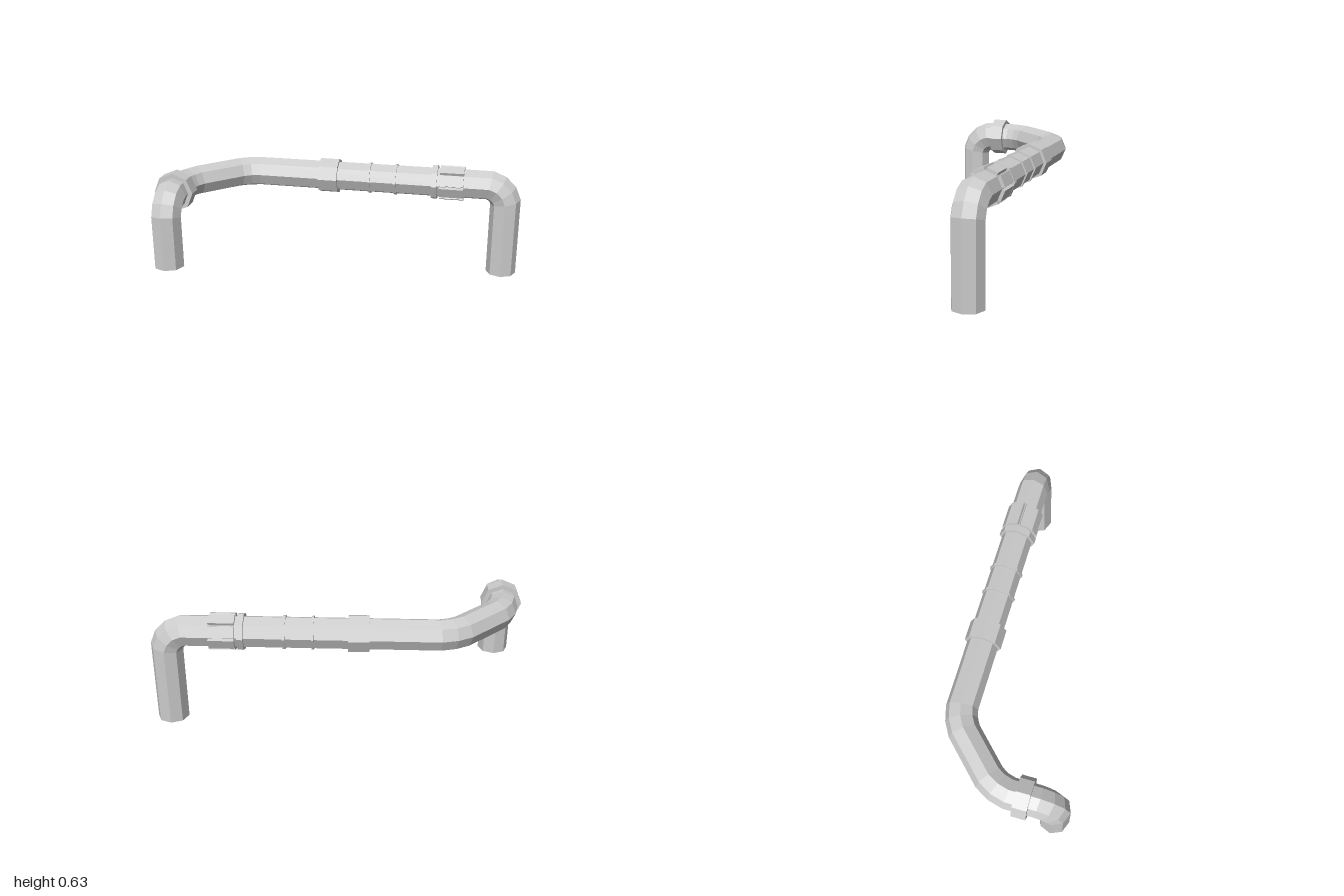
import * as THREE from 'three';

const V = (x, y, z) => new THREE.Vector3(x, y, z);
const SIDES = 8, RADIUS = 0.085, AXIS_Y = 0.525, AXIS_Z = -0.295;

// Replace each inner corner of a path by a faceted bend { radius, steps }
function roundPath(corners, bends) {
  const path = [corners[0]];
  bends.forEach(({ radius, steps }, i) => {
    const corner = corners[i + 1];
    const dir = corner.clone().sub(corners[i]).normalize();
    const out = corners[i + 2].clone().sub(corner).normalize();
    const turn = dir.angleTo(out), axis = dir.clone().cross(out).normalize();
    const half = radius * Math.tan(turn / steps / 2);
    const p = corner.clone().addScaledVector(dir, -radius * Math.tan(turn / 2));
    for (let k = 0; k < steps; k++) {
      p.addScaledVector(dir, half);
      path.push(p.clone());
      dir.applyAxisAngle(axis, turn / steps);
      p.addScaledVector(dir, half);
    }
  });
  path.push(corners[corners.length - 1]);
  return path;
}

// Octagonal pipe swept along the path with mitred joints
function sweepPipe(path, side) {
  const positions = [], index = [], u = side.clone();
  path.forEach((p, i) => {
    const next = path[Math.min(i + 1, path.length - 1)], prev = path[Math.max(i - 1, 0)];
    const dOut = (i < path.length - 1 ? next.clone().sub(p) : p.clone().sub(prev)).normalize();
    const dIn = (i > 0 ? p.clone().sub(prev) : dOut.clone()).normalize();
    const mitre = dIn.clone().add(dOut).normalize();
    const v = dIn.clone().cross(u);
    for (let k = 0; k < SIDES; k++) {
      const a = (k / SIDES) * Math.PI * 2;
      const o = u.clone().multiplyScalar(RADIUS * Math.cos(a)).addScaledVector(v, RADIUS * Math.sin(a));
      o.addScaledVector(dIn, -o.dot(mitre) / dIn.dot(mitre)).add(p);
      positions.push(o.x, o.y, o.z);
      if (i > 0) {
        const a0 = (i - 1) * SIDES + k, a1 = (i - 1) * SIDES + (k + 1) % SIDES;
        index.push(a0, a1, a1 + SIDES, a0, a1 + SIDES, a0 + SIDES);
      }
    }
    u.applyQuaternion(new THREE.Quaternion().setFromUnitVectors(dIn, dOut));
  });
  const g = new THREE.BufferGeometry();
  g.setAttribute('position', new THREE.Float32BufferAttribute(positions, 3));
  g.setIndex(index);
  g.computeVertexNormals();
  return g;
}

// Octagonal band around the x axis
function bandGeometry(r, width) {
  const h = width / 2, inner = RADIUS - 0.003;
  const profile = [[inner, -h], [r, -h], [r, h], [inner, h]].map(([x, y]) => new THREE.Vector2(x, y));
  return new THREE.LatheGeometry(profile, SIDES).rotateZ(-Math.PI / 2);
}

export function createModel() {
  const group = new THREE.Group();
  const solid = new THREE.MeshStandardMaterial({ color: 0xcccccc, flatShading: true });
  const open = new THREE.MeshStandardMaterial({ color: 0xcccccc, flatShading: true, side: THREE.DoubleSide });
  const add = (name, geometry, parent = group, material = solid) => {
    const mesh = new THREE.Mesh(geometry, material);
    mesh.name = name;
    parent.add(mesh);
    return mesh;
  };

  // Pipe: short leg, elbow, two 45 degree bends, long run, elbow, long leg
  const elbow = { radius: 0.115, steps: 4 }, sweep = { radius: 0.25, steps: 3 };
  const path = roundPath([
    V(-0.89, 0.142, 0.311), V(-0.89, AXIS_Y, 0.311), V(-0.89, AXIS_Y, 0),
    V(-0.595, AXIS_Y, AXIS_Z), V(0.912, AXIS_Y, AXIS_Z), V(0.912, 0, AXIS_Z),
  ], [elbow, sweep, sweep, elbow]);
  add('pipe', sweepPipe(path, V(1, 0, 0)), group, open);

  // Collar behind the short leg's elbow
  const elbowCollar = add('elbowCollar', bandGeometry(0.11, 0.078));
  elbowCollar.rotation.y = Math.PI / 2;
  elbowCollar.position.set(-0.89, AXIS_Y, 0.147);

  // Bands along the straight run: name, x, radius, width
  [
    ['wideCollar', -0.105, 0.101, 0.11],
    ['thinRing', 0.134, 0.093, 0.012],
    ['thinRing', 0.284, 0.093, 0.014],
    ['gripRing', 0.509, 0.101, 0.032],
  ].forEach(([name, x, r, width]) => {
    add(name, bandGeometry(r, width)).position.set(x, AXIS_Y, AXIS_Z);
  });

  // Grip made of one plate per pipe face, with gaps along the corners
  const grip = new THREE.Group();
  grip.name = 'platedGrip';
  grip.position.set(0.607, AXIS_Y, AXIS_Z);
  for (let k = 0; k < SIDES; k++) {
    const plate = new THREE.BoxGeometry(0.136, 0.019, 0.06).translate(0, 0.0857, 0);
    add('gripPlate', plate.rotateX(((k + 0.5) / SIDES) * Math.PI * 2), grip);
  }
  group.add(grip);
  return group;
}
